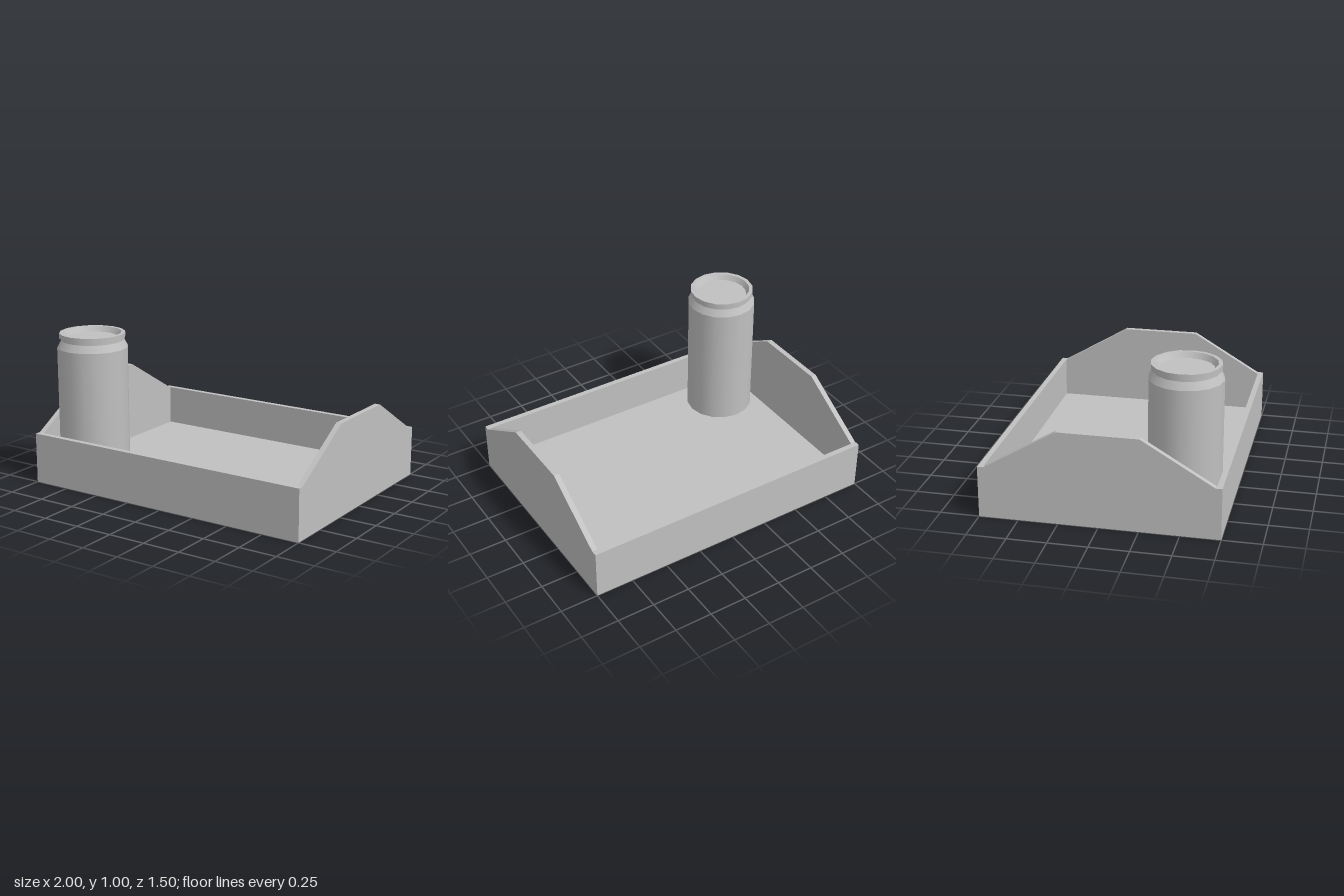
import * as THREE from 'three';

export function createModel() {
  const group = new THREE.Group();
  const grey = new THREE.MeshStandardMaterial({ name: 'light grey', color: 0xc0c0c0 });

  const add = (name, geometry, x, y, z, parent = group) => {
    const mesh = new THREE.Mesh(geometry, grey);
    mesh.name = name;
    mesh.position.set(x, y, z);
    parent.add(mesh);
    return mesh;
  };

  // Tray: floor, low front and back walls
  const T = 0.036, H = 0.333, FLOOR = 0.065;
  const tray = new THREE.Group();
  tray.name = 'tray';
  group.add(tray);
  add('trayFloor', new THREE.BoxGeometry(2 - 2 * T, FLOOR, 1.5 - 2 * T), 0, FLOOR / 2, 0, tray);
  for (const [name, s] of [['frontWall', 1], ['backWall', -1]]) {
    add(name, new THREE.BoxGeometry(2 - 2 * T, H, T), 0, H / 2, s * (0.75 - T / 2), tray);
  }

  // Raised side walls with sloping shoulders
  const outline = [[-0.75, 0], [0.75, 0], [0.75, H], [0.71, H], [0.255, 0.603],
    [-0.255, 0.603], [-0.71, H], [-0.75, H]];
  const side = new THREE.ExtrudeGeometry(
    new THREE.Shape(outline.map(([z, y]) => new THREE.Vector2(z, y))),
    { depth: T, bevelEnabled: false });
  side.translate(0, 0, -T / 2).rotateY(-Math.PI / 2);
  add('leftWall', side, 1 - T / 2, 0, 0, tray);
  add('rightWall', side, -1 + T / 2, 0, 0, tray);

  // Can: one lathe per band so the edges between bands stay sharp
  const can = new THREE.Group();
  can.name = 'can';
  can.position.set(-0.72, 0, 0.48);
  group.add(can);
  const profile = [
    ['canBody', 0.23, FLOOR],
    ['canShoulder', 0.23, 0.905],
    ['canNeck', 0.205, 0.953],
    ['rimUnderside', 0.205, 0.967],
    ['rimOuter', 0.215, 0.967],
    ['rimTop', 0.215, 1],
    ['rimInner', 0.19, 1],
    ['canLid', 0.17, 0.965],
    ['', 0, 0.965],
  ];
  for (let i = 0; i < profile.length - 1; i++) {
    const [name, r0, y0] = profile[i];
    const [, r1, y1] = profile[i + 1];
    add(name, new THREE.LatheGeometry(
      [new THREE.Vector2(r0, y0), new THREE.Vector2(r1, y1)], 16), 0, 0, 0, can);
  }

  return group;
}
